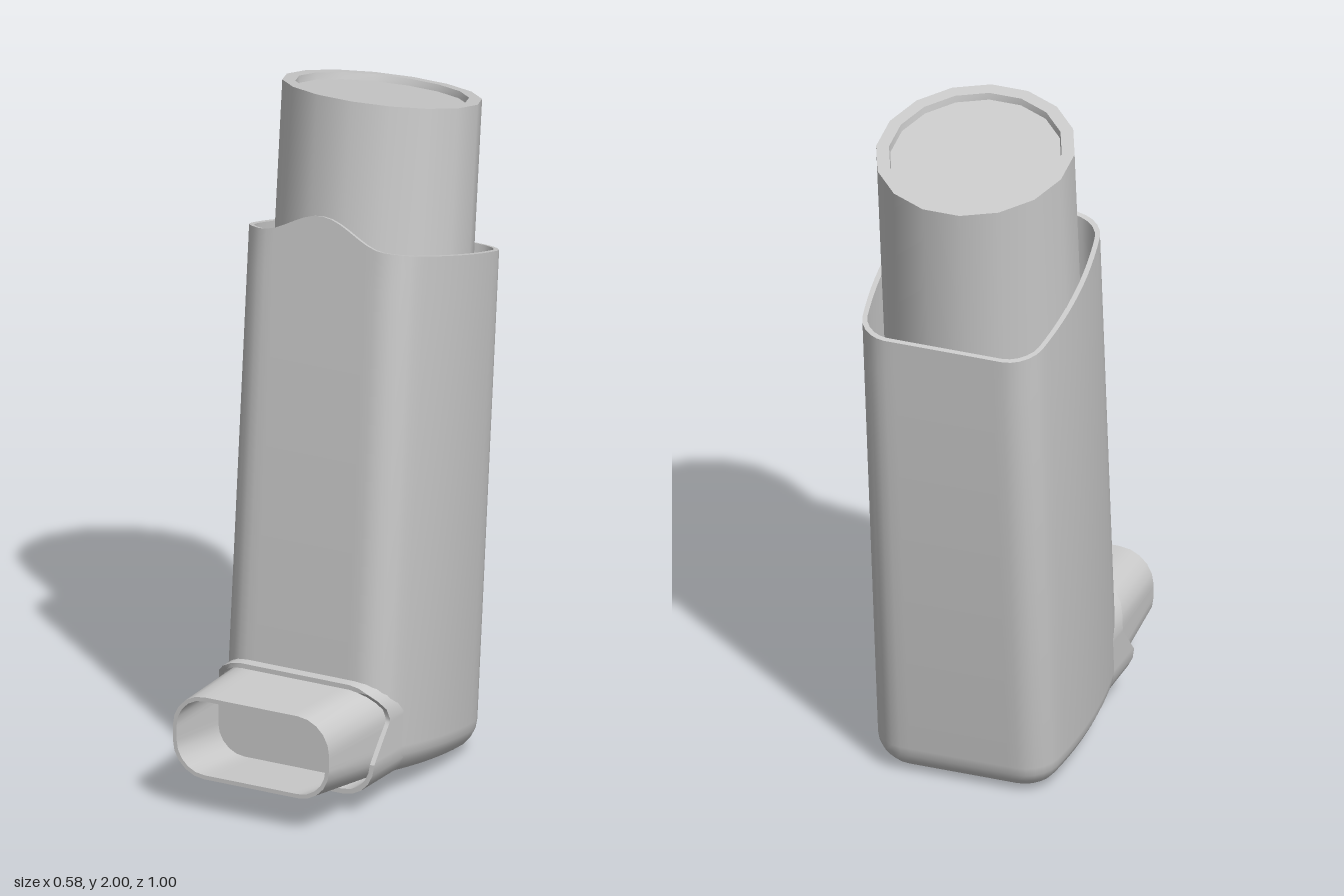
import * as THREE from 'three';
import { toCreasedNormals } from 'three/addons/utils/BufferGeometryUtils.js';

const material = new THREE.MeshStandardMaterial({ color: 0xcccccc, side: THREE.DoubleSide });

// Rounded rectangle, counter-clockwise, with its straight edges subdivided
function outline(hu, hv, r, arc = 5, edge = 12) {
  const corners = [[1, 1], [-1, 1], [-1, -1], [1, -1]].map(([su, sv], q) =>
    Array.from({ length: arc + 1 }, (_, i) => {
      const a = (q + i / arc) * Math.PI / 2;
      return [su * (hu - r) + r * Math.cos(a), sv * (hv - r) + r * Math.sin(a)];
    }));
  const points = [];
  corners.forEach((corner, q) => {
    points.push(...corner);
    const a = corner[arc], b = corners[(q + 1) % 4][0];
    for (let i = 1; i < edge; i++) {
      const t = i / edge;
      points.push([a[0] + (b[0] - a[0]) * t, a[1] + (b[1] - a[1]) * t]);
    }
  });
  return points;
}

// Skin through equal-length rings of [x, y, z], with optional end caps
function loft(name, rings, capStart, capEnd) {
  const pos = [];
  const n = rings[0].length;
  for (let i = 0; i < rings.length - 1; i++) {
    for (let j = 0; j < n; j++) {
      const k = (j + 1) % n;
      const a = rings[i][j], b = rings[i][k], c = rings[i + 1][k], d = rings[i + 1][j];
      pos.push(...a, ...b, ...c, ...a, ...c, ...d);
    }
  }
  const cap = (ring, flip) => {
    const mid = [0, 1, 2].map(k => ring.reduce((s, p) => s + p[k], 0) / n);
    ring.forEach((p, j) => {
      const q = ring[(j + 1) % n];
      pos.push(...mid, ...(flip ? q : p), ...(flip ? p : q));
    });
  };
  if (capStart) cap(rings[0], true);
  if (capEnd) cap(rings[rings.length - 1], false);
  const geometry = new THREE.BufferGeometry();
  geometry.setAttribute('position', new THREE.Float32BufferAttribute(pos, 3));
  const mesh = new THREE.Mesh(toCreasedNormals(geometry, 0.6), material);
  mesh.name = name;
  return mesh;
}

// Leaning hollow sleeve with bulged sides, rounded foot and a wavy sloping rim
function sleeve() {
  const depth = 0.305;
  const ring = (inset, y0, slope, bump = 0) =>
    outline(0.25 - inset, depth - inset, Math.max(0.075 - inset * 0.4, 0.03)).map(([u, v]) => {
      const zl = -v;
      const x = u * (1 + 0.16 * (1 - (zl / depth) ** 2));
      let y = y0 + slope * zl;
      if (zl > depth * 0.9 && Math.abs(x) < 0.2) y += bump * (0.5 + 0.5 * Math.cos(Math.PI * x / 0.2));
      return [x, y, -0.186 + zl - 0.09 * (y - 1.5)];
    });
  const rings = [];
  const r = 0.1;
  for (let i = 0; i <= 6; i++) {
    const a = i / 6 * Math.PI / 2;
    rings.push(ring(r * (1 - Math.sin(a)), 0.03 + r * (1 - Math.cos(a)), 0.147));
  }
  rings.push(ring(0, 1.4, 0.28), ring(0, 1.515, 0.28, 0.07));
  rings.push(ring(0.013, 1.515, 0.28, 0.07), ring(0.013, 1.4, 0.28), ring(0.013, 0.16, 0.147));
  return loft('sleeve', rings, true, true);
}

// Collar around the mouthpiece, its open edge notched at the sides
function collar() {
  const edgeZ = y => {
    if (y < 0.15) return 0.29;
    if (y < 0.255) return 0.29 - 0.09 * (y - 0.15) / 0.105;
    if (y < 0.28) return 0.2;
    return Math.min(0.255, 0.2 + 0.055 * (y - 0.28) / 0.065);
  };
  const ring = (inset, z) => outline(0.273 - inset, 0.155 - inset, 0.1 - inset)
    .map(([u, v]) => [u, 0.207 + v, z ?? edgeZ(0.207 + v)]);
  return loft('collar', [ring(0, 0.1), ring(0), ring(0.014), ring(0.014, 0.1)]);
}

// Tapered hollow mouthpiece
function mouthpiece() {
  const ring = (z, inset) => {
    const t = (z - 0.15) / 0.35;
    const low = 0.06 + 0.042 * t, high = 0.348 - 0.003 * t;
    return outline(0.262 - 0.012 * t - inset, (high - low) / 2 - inset, 0.1 - inset)
      .map(([u, v]) => [u, (low + high) / 2 + v, z]);
  };
  return loft('mouthpiece', [ring(0.15, 0), ring(0.5, 0), ring(0.5, 0.012), ring(0.26, 0.016)], false, true);
}

// Sixteen-sided canister with a raised rim around its sloping end
function canister() {
  const ring = (y0, scale, slope = 0.23) => Array.from({ length: 16 }, (_, i) => {
    const a = (i + 0.5) / 16 * Math.PI * 2;
    const zl = -0.273 * scale * Math.sin(a);
    return [0.28 * scale * Math.cos(a), y0 + slope * zl, -0.2325 + zl - 0.1 * (y0 - 1.938)];
  });
  return loft('canister',
    [ring(0.35, 1, 0.1), ring(1.938, 1), ring(1.938, 0.87), ring(1.918, 0.86)], true, true);
}

export function createModel() {
  const model = new THREE.Group();
  model.name = 'inhaler';
  model.add(sleeve(), collar(), mouthpiece(), canister());
  return model;
}
